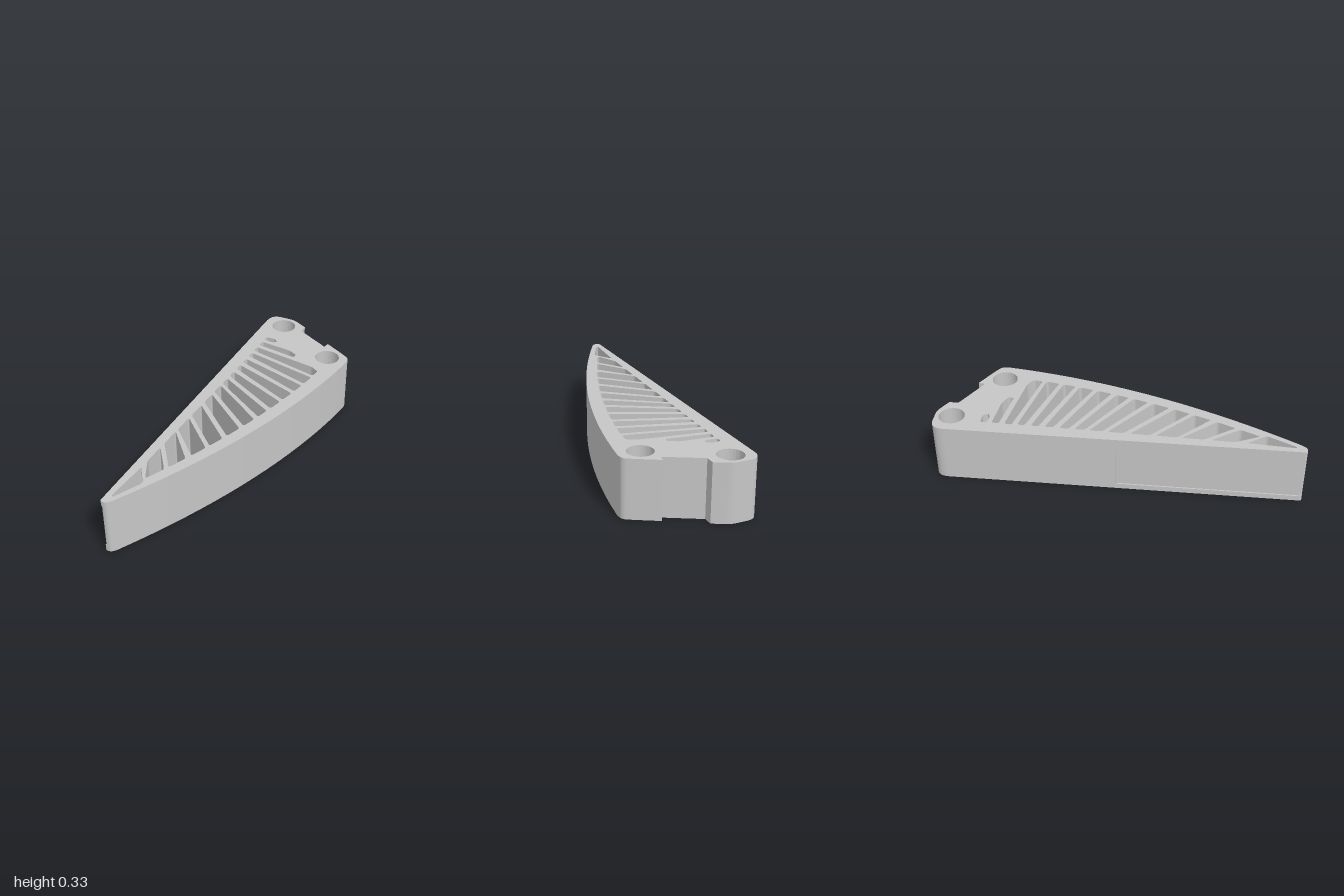
import * as THREE from 'three';

const HEIGHT = 0.327, SKIN = 0.03;
const PIVOTS = [[-0.19, -0.908], [0.19, -0.69]];

// Curved outer edge, and the borders of the cut-out field
const edgeX = z => 0.312 - 0.231 * (z + 0.69) - 0.134 * (z + 0.69) * (z - 0.15);
const innerX = z => edgeX(z) - 0.077 + 0.02 * z;
const leftX = z => -0.246 - 0.0265 * z;

// Draws a closed path from [x, z, radius] corners, rounding each one
function trace(path, corners) {
  const n = corners.length;
  const pts = corners.map(([x, z]) => new THREE.Vector2(x, -z));
  corners.forEach(([, , r = 0], i) => {
    const p = pts[i], a = pts[(i + n - 1) % n], b = pts[(i + 1) % n];
    const toward = q => p.clone().lerp(q, Math.min(0.45, r / p.distanceTo(q)));
    const s = r ? toward(a) : p;
    if (i === 0) path.moveTo(s.x, s.y); else path.lineTo(s.x, s.y);
    if (r) {
      const e = toward(b);
      path.quadraticCurveTo(p.x, p.y, e.x, e.y);
    }
  });
  path.closePath();
  return path;
}

function circle(path, [x, z], r) {
  path.absarc(x, -z, r, 0, Math.PI * 2);
  return path;
}

// Slots between ribs: left back, left front, right back, right front (all z)
const SLOTS = [
  [-0.54, -0.50, -0.45, -0.375], [-0.465, -0.425, -0.35, -0.28],
  [-0.39, -0.345, -0.255, -0.175], [-0.31, -0.26, -0.15, -0.07],
  [-0.23, -0.175, -0.04, 0.03], [-0.15, -0.08, 0.06, 0.14],
  [-0.05, 0.035, 0.17, 0.26], [0.07, 0.175, 0.29, 0.375],
  [0.205, 0.32, 0.40, 0.49], [0.345, 0.46, 0.525, 0.625],
  [0.50, 0.625, 0.65, 0.755],
].map(([lb, lf, rb, rf]) => [
  [leftX(lf), lf, 0.016], [innerX(rf), rf, 0.016],
  [innerX(rb), rb, 0.016], [leftX(lb), lb, 0.016],
]);

// Irregular cut-outs at the wide end and the tip
const END_CUTS = [
  [[-0.23, -0.708, 0.012], [-0.175, -0.7, 0.01], [-0.15, -0.715, 0.01], [-0.17, -0.742, 0.012], [-0.23, -0.742, 0.012]],
  [[-0.23, -0.64, 0.012], [0.01, -0.605, 0.01], [0.014, -0.635, 0.01], [-0.04, -0.662, 0.012], [-0.228, -0.68, 0.012]],
  [[-0.235, -0.57, 0.012], [0.19, -0.473, 0.015], [0.198, -0.525, 0.012], [0.15, -0.555, 0.012], [-0.23, -0.61, 0.012]],
  [[-0.281, 0.94, 0.006], [-0.27, 0.945, 0.012], [-0.193, 0.79, 0.014], [-0.264, 0.685, 0.016]],
];

function bodyShape(recessed) {
  const corners = [
    [-0.312, -1, 0.075], [-0.155, -1, 0.03], [-0.066, -0.952], [-0.066, -0.9],
    [0.13, -0.794, 0.008], [0.137, -0.832], [0.262, -0.762, 0.02], [0.308, -0.733, 0.035],
  ];
  for (let i = 0; i <= 18; i++) {
    const z = -0.69 + (1.665 * i) / 18;
    corners.push([edgeX(z), z]);
  }
  corners.push([-0.278, 1, 0.014]);
  if (recessed) corners.push([-0.305, 1, 0.01], [-0.305, 0], [-0.312, 0]);
  else corners.push([-0.312, 1, 0.014]);
  const shape = trace(new THREE.Shape(), corners);
  shape.holes = [...SLOTS, ...END_CUTS].map(c => trace(new THREE.Path(), c));
  PIVOTS.forEach(p => shape.holes.push(circle(new THREE.Path(), p, 0.071)));
  return shape;
}

export function createModel() {
  const model = new THREE.Group();
  model.name = 'ribbedWedge';
  const grey = new THREE.MeshStandardMaterial({ color: 0xc6c6c6 });
  grey.name = 'grey';

  function slab(name, shape, y0, y1) {
    const geo = new THREE.ExtrudeGeometry(shape, { depth: y1 - y0, bevelEnabled: false, curveSegments: 14 });
    geo.rotateX(-Math.PI / 2).translate(0, y0, 0);
    const mesh = new THREE.Mesh(geo, grey);
    mesh.name = name;
    model.add(mesh);
  }

  // Ribbed body: full skins around a core with a shallow side recess
  slab('bottomSkin', bodyShape(false), 0, SKIN);
  slab('recessedCore', bodyShape(true), SKIN, HEIGHT - SKIN);
  slab('topSkin', bodyShape(false), HEIGHT - SKIN, HEIGHT);

  // Narrow collars inside the two counterbored holes
  PIVOTS.forEach((p, i) => {
    const ring = circle(new THREE.Shape(), p, 0.072);
    ring.holes.push(circle(new THREE.Path(), p, 0.056));
    slab(i ? 'leftHoleCollar' : 'rightHoleCollar', ring, 0.12, 0.207);
  });
  return model;
}
